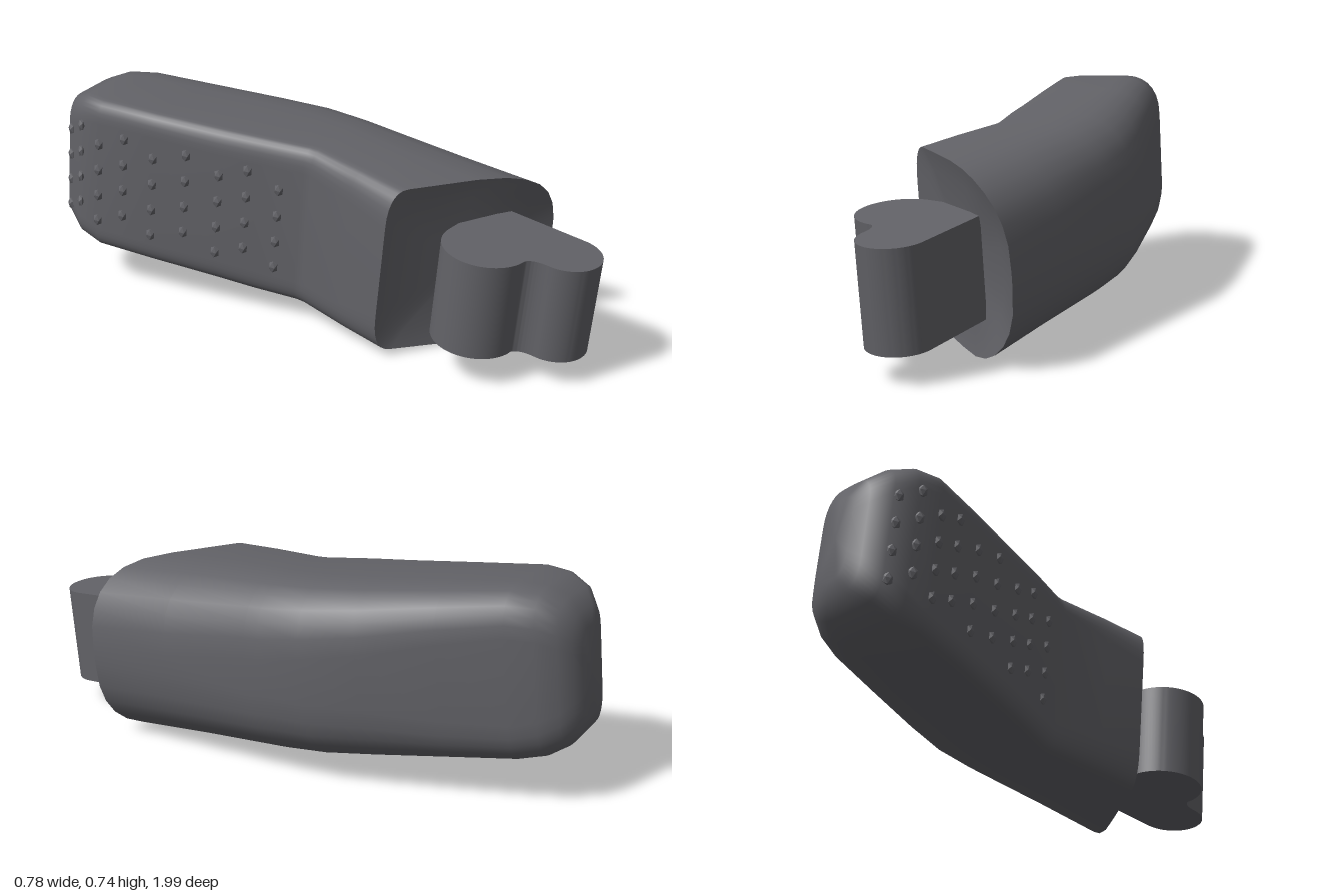
import * as THREE from 'three';
import { mergeVertices, toCreasedNormals } from 'three/addons/utils/BufferGeometryUtils.js';

const darkGrey = new THREE.MeshStandardMaterial({ color: 0x626267 });
darkGrey.name = 'darkGrey';

// Sections from the hinge end to the tip:
// left x, z, right x, z, half height, right round width, height, left round width, height, forward bulge
const SECTIONS = [
  [-0.195, 0.365, 0.387, 0.662, 0.317, 0.35, 0.29, 0.07, 0.14, 0.035],
  [-0.175, 0.2, 0.362, 0.35, 0.316, 0.31, 0.28, 0.06, 0.11, 0.02],
  [-0.148, 0.015, 0.33, 0.02, 0.312, 0.25, 0.25, 0.05, 0.09, 0],
  [-0.152, -0.015, 0.325, -0.03, 0.311, 0.24, 0.25, 0.05, 0.09, 0],
  [-0.205, -0.17, 0.303, -0.18, 0.308, 0.23, 0.23, 0.05, 0.09, 0],
  [-0.245, -0.3, 0.24, -0.36, 0.304, 0.21, 0.21, 0.05, 0.09, 0],
  [-0.32, -0.55, 0.135, -0.6, 0.3, 0.18, 0.17, 0.05, 0.08, 0],
  [-0.374, -0.75, 0.045, -0.8, 0.298, 0.15, 0.15, 0.05, 0.08, 0],
  [-0.374, -0.84, 0.005, -0.885, 0.285, 0.14, 0.15, 0.06, 0.09, 0],
  [-0.348, -0.915, -0.035, -0.945, 0.25, 0.12, 0.14, 0.06, 0.1, 0],
  [-0.295, -0.965, -0.08, -0.975, 0.205, 0.08, 0.12, 0.06, 0.1, 0],
  [-0.24, -0.984, -0.12, -0.988, 0.15, 0.05, 0.08, 0.04, 0.08, 0],
];
const STEPS = 7;

// Rounded section, counterclockwise seen from the front, slightly lower on the pad side
function sectionRing([lx, lz, rx, rz, h, ra, rb, la, lb, bulge]) {
  const width = Math.hypot(rx - lx, rz - lz);
  const ring = [];
  for (let q = 0; q < 4; q++) {
    const right = q < 2;
    const a = right ? ra : la, b = right ? rb : lb;
    const cx = right ? width - a : a;
    const cy = (q === 0 || q === 3 ? -1 : 1) * (h - b);
    for (let i = 0; i <= STEPS; i++) {
      const t = (q - 1 + i / STEPS) * Math.PI / 2;
      const c = Math.cos(t), s = Math.sin(t);
      const u = (cx + a * Math.sign(c) * Math.abs(c) ** 0.82) / width;
      const y = (cy + b * Math.sign(s) * Math.abs(s) ** 0.82) * (1 - 0.05 * (1 - u) ** 2);
      const z = lz + (rz - lz) * u + bulge * Math.sin(Math.PI * u ** 2);
      ring.push(new THREE.Vector3(lx + (rx - lx) * u, y, z));
    }
  }
  return ring;
}

function bodyGeometry() {
  const rings = SECTIONS.map(sectionRing);
  const middle = ([lx, lz, rx, rz]) => new THREE.Vector3((lx + rx) / 2, 0, (lz + rz) / 2);
  // Slightly dished face at the hinge end
  const front = middle(SECTIONS[0]);
  const dish = rings[0].map((p) => p.clone().lerp(front, 0.22).add(new THREE.Vector3(0, 0, -0.012)));
  rings.unshift(dish);
  const back = middle(SECTIONS[SECTIONS.length - 1]);
  back.z -= 0.004;

  const n = dish.length;
  const points = [...rings.flat(), front, back];
  const frontId = points.length - 2, backId = points.length - 1;
  const last = (rings.length - 1) * n;
  const index = [];
  for (let j = 0; j < n; j++) {
    const k = (j + 1) % n;
    for (let r = 0; r < rings.length - 1; r++) {
      const a = r * n + j, b = r * n + k;
      index.push(a, a + n, b, b, a + n, b + n);
    }
    index.push(frontId, j, k, backId, last + k, last + j);
  }
  const geometry = new THREE.BufferGeometry().setFromPoints(points);
  geometry.setIndex(index);
  return toCreasedNormals(mergeVertices(geometry), 0.6);
}

// Two knuckle barrels joined by a web, drawn in plan as x, z
function hingeGeometry() {
  const shape = new THREE.Shape();
  shape.moveTo(0.22, 0.58);
  shape.lineTo(0.222, 0.87);
  shape.absarc(0.108, 0.87, 0.114, 0, Math.PI, false);
  shape.quadraticCurveTo(-0.006, 0.81, -0.037, 0.797);
  shape.absarc(-0.037, 0.652, 0.145, Math.PI / 2, Math.PI * 1.5, false);
  shape.lineTo(0.02, 0.507);
  shape.closePath();
  const geometry = new THREE.ExtrudeGeometry(shape, { depth: 0.34, bevelEnabled: false, curveSegments: 20 });
  geometry.rotateX(Math.PI / 2).translate(0, 0.166, 0);
  return toCreasedNormals(geometry, 0.6);
}

// Staggered grip studs on the pad side and around the tip corner
function gripStuds() {
  const group = new THREE.Group();
  group.name = 'gripStuds';
  const stud = new THREE.IcosahedronGeometry(1, 0);
  const path = [[-0.178, -0.09], [-0.215, -0.2], [-0.246, -0.3], [-0.282, -0.42], [-0.318, -0.54],
    [-0.348, -0.65], [-0.374, -0.745], [-0.375, -0.83], [-0.352, -0.9]];
  path.forEach(([x, z], column) => {
    for (let row = 0; row < 4; row++) {
      const mesh = new THREE.Mesh(stud, darkGrey);
      mesh.name = 'gripStud';
      mesh.position.set(x, -0.17 + row * 0.1 + (column % 2) * 0.045, z);
      mesh.scale.set(0.012, 0.024, 0.018);
      mesh.rotation.y = column < 7 ? 0.28 : -0.5;
      group.add(mesh);
    }
  });
  return group;
}

export function createModel() {
  const model = new THREE.Group();
  model.name = 'fingerSegment';
  // The whole segment rises gently toward its tip
  const tilted = new THREE.Group();
  tilted.name = 'tiltedSegment';
  tilted.position.y = 0.37;
  tilted.rotation.x = 0.1;
  const body = new THREE.Mesh(bodyGeometry(), darkGrey);
  body.name = 'fingerBody';
  const hinge = new THREE.Mesh(hingeGeometry(), darkGrey);
  hinge.name = 'hingeKnuckle';
  tilted.add(body, hinge, gripStuds());
  model.add(tilted);
  return model;
}
